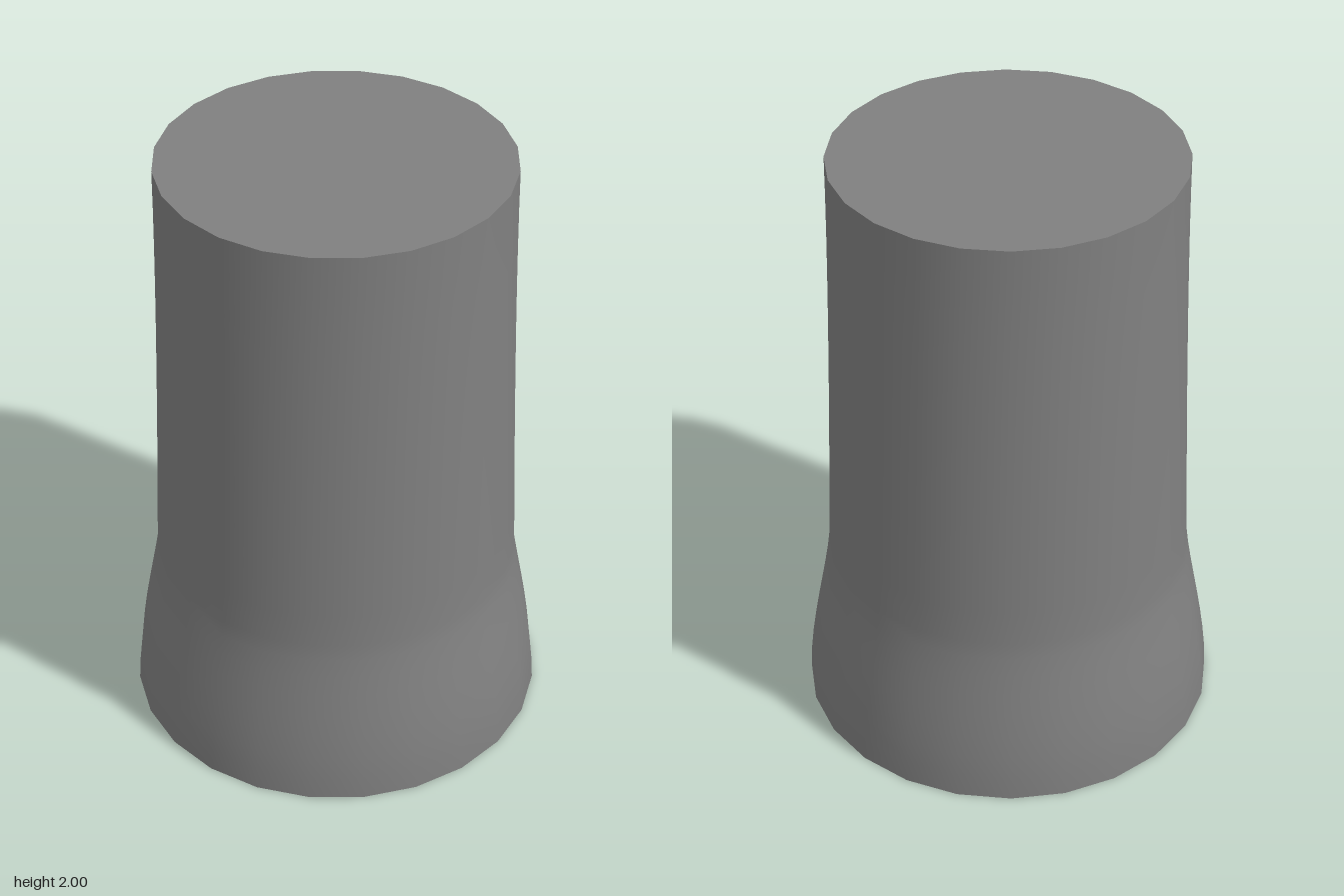
import * as THREE from 'three';

const SIDES = 24;

export function createModel() {
  const group = new THREE.Group();
  group.name = 'flaredColumn';
  const material = new THREE.MeshStandardMaterial({ color: 0x808080 });
  const add = (name, geometry) => {
    const mesh = new THREE.Mesh(geometry, material);
    mesh.name = name;
    group.add(mesh);
    return mesh;
  };
  const v = (r, y) => new THREE.Vector2(r, y);

  // Profile: flared foot, then a gently tapering shaft
  const foot = new THREE.CubicBezierCurve(v(0.68, 0), v(0.675, 0.2), v(0.608, 0.44), v(0.595, 0.58));
  const shaft = new THREE.CubicBezierCurve(v(0.595, 0.58), v(0.58, 0.95), v(0.556, 1.6), v(0.555, 2));
  const profile = [...foot.getPoints(8), ...shaft.getPoints(10).slice(1)];
  const body = new THREE.LatheGeometry(profile, SIDES);
  body.normalizeNormals(); // even shading on the end rings
  add('body', body);

  // Flat end caps with sharp rims
  const top = add('topCap', new THREE.CircleGeometry(0.555, SIDES));
  top.rotation.x = -Math.PI / 2;
  top.position.y = 2;
  const bottom = add('bottomCap', new THREE.CircleGeometry(0.68, SIDES));
  bottom.rotation.x = Math.PI / 2;

  return group;
}
